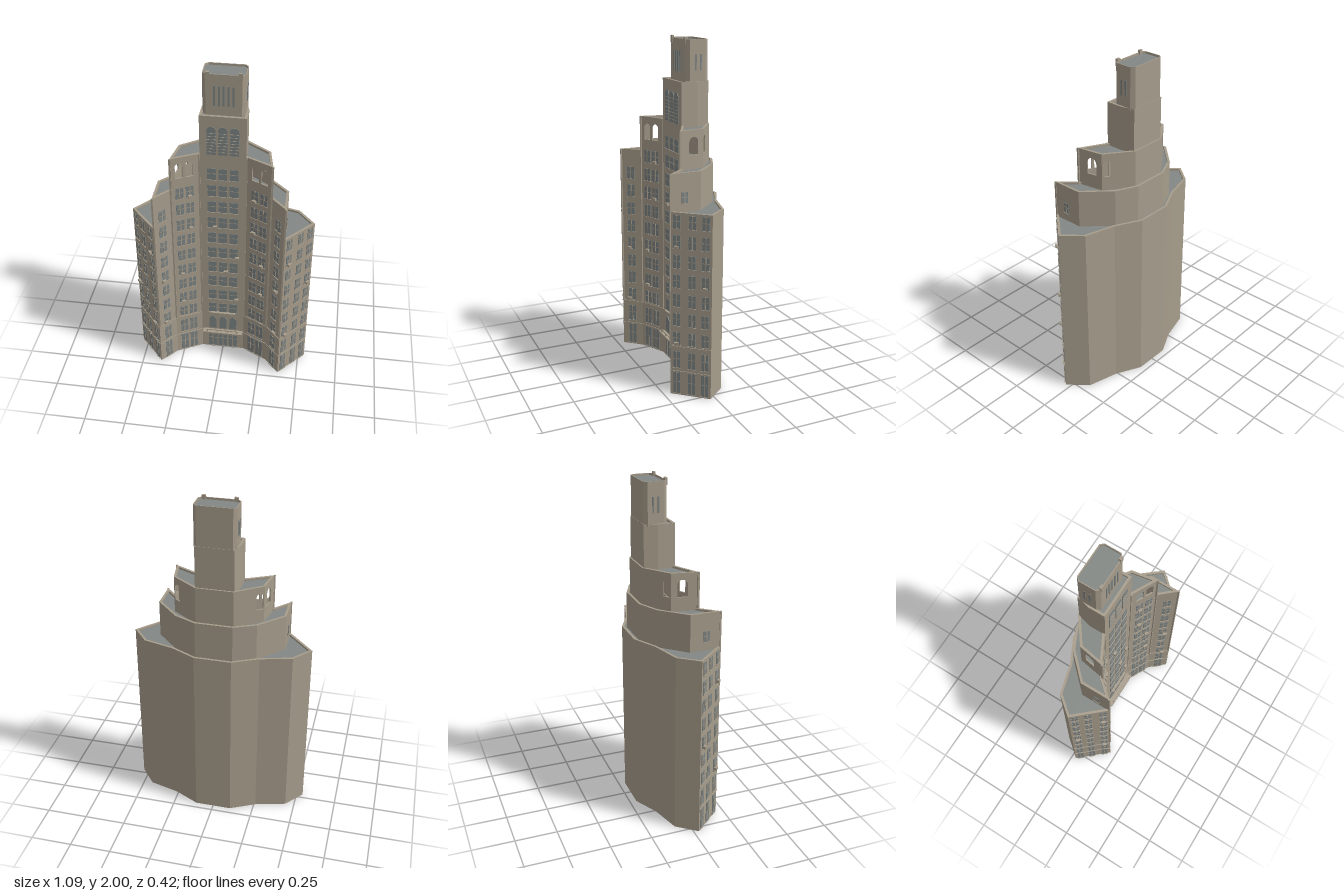
import * as THREE from 'three';
import { mergeGeometries } from 'three/addons/utils/BufferGeometryUtils.js';

const mat = (name, color) => Object.assign(new THREE.MeshStandardMaterial({ color }), { name });
const wall = mat('stone wall', 0xa69c8b);
const roof = mat('grey roof', 0x828784);
const glass = mat('window glass', 0x7b8282);

// Half outlines (+x side), from the front centre round to the back, as [x, z]
const HALF = {
  base: [[.135, .03], [.29, .11], [.38, .21], [.54, .03], [.445, -.085], [.26, -.135], [.11, -.21]],
  middle: [[.135, .03], [.29, .11], [.38, .21], [.38, .025], [.238, -.12], [.11, -.178]],
  loggia: [[.135, .03], [.29, .11], [.263, -.045], [.11, -.156]],
  tower: [[.132, .03], [.132, -.07], [.112, -.147]],
  crown: [[.1, -.008], [.12, -.028], [.12, -.125], [.102, -.145]],
};
const full = (half) => [...half, ...half.map(([x, z]) => [-x, z]).reverse()];
const TOP = { base: 1.09, middle: 1.3, loggia: 1.51, tower: 1.755, crown: 1.987 };
const LIP = 0.012, RIM = 0.014;

// Move a closed outline inwards by w
function inset(pts, w) {
  const n = pts.length;
  const normal = (i) => {
    const a = pts[(i + n) % n], b = pts[(i + 1) % n];
    const dx = b[0] - a[0], dz = b[1] - a[1], l = Math.hypot(dx, dz);
    return [-dz / l, dx / l];
  };
  return pts.map(([x, z], i) => {
    const p = normal(i - 1), q = normal(i), k = w / (1 + p[0] * q[0] + p[1] * q[1]);
    return [x - k * (p[0] + q[0]), z - k * (p[1] + q[1])];
  });
}

const toVec = (pts) => pts.map(([x, z]) => new THREE.Vector2(x, -z));
function prism(pts, y0, y1, hole) {
  const shape = new THREE.Shape(toVec(pts));
  if (hole) shape.holes.push(new THREE.Path(toVec(hole)));
  const g = new THREE.ExtrudeGeometry(shape, { depth: y1 - y0, bevelEnabled: false });
  return g.rotateX(-Math.PI / 2).translate(0, y0, 0);
}

function addMesh(group, name, geo, material) {
  const m = new THREE.Mesh(geo, material);
  m.name = name;
  group.add(m);
  return m;
}

const box = (w, h, d, x, y, z) => new THREE.BoxGeometry(w, h, d).translate(x, y, z);

// Round-headed or pointed opening outline
function archPath(Type, x, y0, y1, w, pointed) {
  const r = w / 2, s = new Type();
  s.moveTo(x - r, y0).lineTo(x + r, y0).lineTo(x + r, y1 - r);
  if (pointed) s.lineTo(x, y1).lineTo(x - r, y1 - r);
  else s.absarc(x, y1 - r, r, 0, Math.PI, false);
  s.lineTo(x - r, y0);
  return s;
}
const plate = (shape, z0, depth) =>
  new THREE.ExtrudeGeometry(shape, { depth, bevelEnabled: false, curveSegments: 8 }).translate(0, 0, z0);

// Details on one flat wall: local x runs along the wall, local z points outwards
class Face {
  constructor(a, b) {
    this.a = a;
    this.dx = b[0] - a[0];
    this.dz = b[1] - a[1];
    this.len = Math.hypot(this.dx, this.dz);
    this.stone = [];
    this.panes = [];
  }
  window(f, y, h, w, split = true) {
    const x = f * this.len;
    this.panes.push(box(w, h, .004, x, y + h / 2, .001));
    if (split) this.stone.push(box(.006, h, .005, x, y + h / 2, .0025));
    this.stone.push(box(w, .003, .004, x, y + h * .55, .002));
    this.stone.push(box(w + .006, .004, .008, x, y - .002, .003));
  }
  arch(f, y0, y1, w, pointed) {
    this.panes.push(plate(archPath(THREE.Shape, f * this.len, y0, y1, w, pointed), -.001, .004));
  }
  band(y, h, d) {
    this.stone.push(box(this.len, h, d, this.len / 2, y, d / 2));
  }
  unit(f, y) {
    this.stone.push(box(.024, .016, .018, f * this.len, y, .009));
  }
  build(group, name) {
    const g = new THREE.Group();
    g.name = name;
    for (const [list, part, m] of [[this.stone, 'Trim', wall], [this.panes, 'Glass', glass]])
      if (list.length) addMesh(g, name + part, mergeGeometries(list.map((q) => q.index ? q.toNonIndexed() : q)), m);
    g.position.set(this.a[0], 0, this.a[1]);
    g.rotation.y = Math.atan2(-this.dz, this.dx);
    group.add(g);
  }
}

// Run a detail rule on wall i of the +x side and on its mirror image
function bothSides(group, half, i, name, rule) {
  const pts = full(half), n = pts.length;
  for (const side of [1, -1]) {
    const k = side > 0 ? i : n - 2 - i;
    const face = new Face(pts[k], pts[k + 1]);
    rule(face, (f) => (side > 0 ? f : 1 - f), side);
    face.build(group, (side > 0 ? 'left' : 'right') + name);
  }
}

const ROW = (i) => .313 + .1145 * i;

export function createModel() {
  const model = new THREE.Group();
  model.name = 'steppedTowerBlock';

  // Solid tiers with grey roofs inside stone parapets
  const START = { base: 0, middle: TOP.base - LIP, tower: TOP.loggia - LIP, crown: TOP.tower - LIP };
  for (const tier of Object.keys(HALF)) {
    const pts = full(HALF[tier]), top = TOP[tier];
    if (tier in START) addMesh(model, tier + 'Tier', prism(pts, START[tier], top - LIP), [roof, wall]);
    addMesh(model, tier + 'Parapet', prism(pts, top - LIP, top, inset(pts, tier === 'crown' ? .005 : RIM)), wall);
  }

  // Hollow loggia storey: thin walls, some with arched openings, under a slab
  const lp = full(HALF.loggia), y0 = TOP.middle - LIP, y1 = TOP.loggia - LIP;
  const openings = [[[.345, .046], [.7, .046]], [[.58, .06]], [[.15, .042]], [], [[.85, .042]], [[.42, .06]], [[.655, .046], [.3, .046]], []];
  lp.forEach((a, i) => {
    const f = new Face(a, lp[(i + 1) % lp.length]);
    const s = new THREE.Shape([[0, y0], [f.len, y0], [f.len, y1], [0, y1]].map((p) => new THREE.Vector2(...p)));
    for (const [t, w] of openings[i]) s.holes.push(archPath(THREE.Path, t * f.len, 1.37, 1.47, w));
    f.stone.push(plate(s, -.008, .008));
    f.build(model, 'loggiaWall' + i);
  });
  addMesh(model, 'loggiaRoof', prism(inset(lp, .004), y1 - .012, y1), roof);

  // Wall fields: window positions along the wall, window width, number of upper rows
  const fields = [
    { i: 0, name: 'InnerFacade', at: [.345, .7], w: .046, rows: 9, units: [[.7, 4], [.345, 8], [.7, 2], [.345, 6]] },
    { i: 1, name: 'OuterFacade', at: [.51], w: .046, rows: 8, units: [[.62, 0], [.62, 3]] },
    { i: 2, name: 'WingFacade', at: [.16, .53, .85], w: .04, rows: 7, units: [[.16, 0], [.16, 5], [.85, 3]] },
  ];
  for (const { i, name, at, w, rows, units } of fields)
    bothSides(model, HALF.base, i, name, (face, m, side) => {
      for (const f of at) {
        for (let r = 0; r < rows; r++) face.window(m(f), ROW(r), .075, w);
        face.window(m(f), .17, .1, w);
        face.window(m(f), .01, .13, w);
      }
      units.forEach(([f, r], k) => face.unit(m(f), ROW(side > 0 || k % 2 ? r : Math.max(0, r - 1)) + .008));
      face.band(.148, .004, .004);
      face.band(.3, .004, .004);
    });

  // Flank windows of the middle tier
  bothSides(model, HALF.middle, 2, 'FlankWindow', (face, m) => face.window(m(.47), 1.13, .062, .036));

  // Corner pilasters rising from the second floor band
  for (const s of [1, -1])
    for (const [x, z, top] of [[.135, .03, 1.51], [.289, .109, 1.51], [.378, .206, 1.3]])
      addMesh(model, 'cornerPilaster', box(.01, top - .3, .01, s * x, (top + .3) / 2, z), wall);

  // Centre facade
  const centre = new Face([-.135, .03], [.135, .03]);
  const cols = [-.065, 0, .065].map((x) => .5 + x / .27);
  for (const f of cols) {
    for (let r = 0; r < 10; r++) centre.window(f, ROW(r), .075, .05, false);
    centre.arch(f, .17, .275, .046, true);
    centre.window(f, .008, .13, .056);
    centre.arch(f, 1.512, 1.69, .052);
    for (let k = 0; k < 7; k++) centre.stone.push(box(.05, .003, .004, f * .27, 1.53 + k * .02, .003));
  }
  for (const [f, r] of [[.33, 6], [.82, 4], [.57, 3], [.82, 1]]) centre.unit(f, ROW(r) + .008);
  centre.stone.push(box(.16, .008, .018, .135, .312, .009));
  centre.band(.148, .004, .004);
  centre.build(model, 'centreFacade');

  // Entrance canopy with a low rail
  addMesh(model, 'entranceCanopy', box(.256, .012, .04, 0, .152, .048), wall);
  addMesh(model, 'canopyRail', box(.2, .006, .004, 0, .176, .06), wall);
  for (const x of [-.098, -.033, .033, .098])
    addMesh(model, 'railPost', box(.006, .02, .006, x, .167, .06), wall);

  // Crown: narrow slots on the front and flanks, two roof posts
  const crown = new Face([-.1, -.008], [.1, -.008]);
  for (let k = -2; k <= 2; k++) crown.panes.push(box(.011, .12, .004, .1 + k * .026, 1.86, .001));
  crown.build(model, 'crownFront');
  bothSides(model, HALF.crown, 1, 'CrownFlank', (face, m) => {
    for (const f of [.36, .68]) face.panes.push(box(.01, .09, .004, m(f) * face.len, 1.86, .001));
  });
  for (const s of [1, -1]) addMesh(model, 'roofPost', box(.022, .04, .014, s * .09, 1.98, -.012), wall);

  return model;
}
